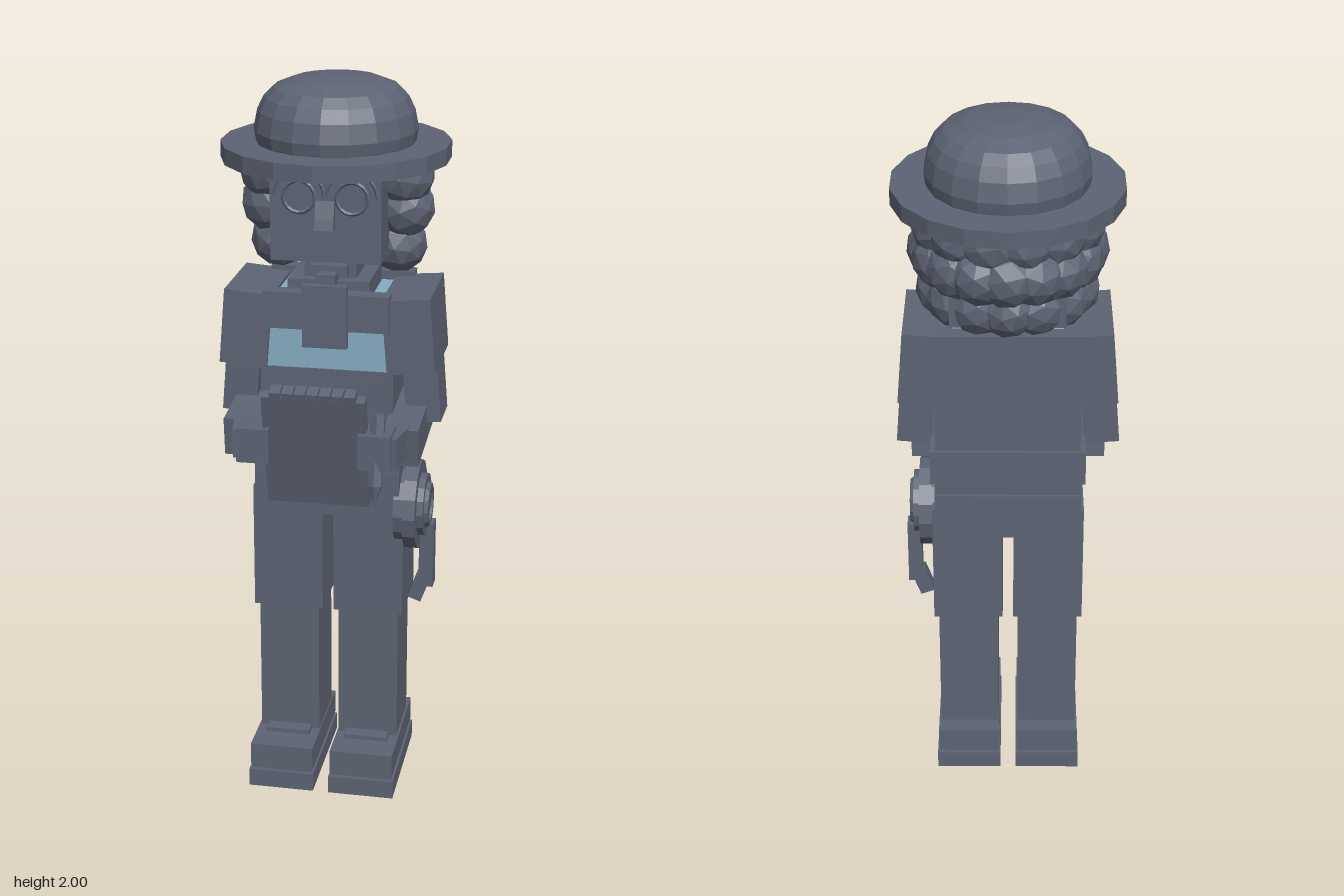
import * as THREE from 'three';

export function createModel() {
  const model = new THREE.Group();
  const slate = new THREE.MeshStandardMaterial({ color: 0x5c6373, flatShading: true });
  slate.name = 'slate';
  const blue = new THREE.MeshStandardMaterial({ color: 0x84adc0, flatShading: true });
  blue.name = 'shirt blue';

  const add = (name, geo, x = 0, y = 0, z = 0, mat = slate) => {
    const m = new THREE.Mesh(geo, mat);
    m.name = name;
    m.position.set(x, y, z);
    model.add(m);
    return m;
  };
  // box from its extents
  const box = (name, x0, x1, y0, y1, z0, z1, mat = slate) => add(name,
    new THREE.BoxGeometry(Math.abs(x1 - x0), y1 - y0, z1 - z0),
    (x0 + x1) / 2, (y0 + y1) / 2, (z0 + z1) / 2, mat);

  // hat: 18-sided brim and rounded crown
  const brim = add('hatBrim', new THREE.CylinderGeometry(0.305, 0.305, 0.045, 18), 0, 1.805, -0.015);
  brim.rotation.y = Math.PI;
  brim.scale.z = 1.05;
  const profile = [[0.2, 1.79], [0.212, 1.83], [0.217, 1.86], [0.207, 1.91], [0.19, 1.945],
    [0.165, 1.97], [0.115, 1.99], [0.05, 2], [0, 2]].map(p => new THREE.Vector2(...p));
  add('hatCrown', new THREE.LatheGeometry(profile, 18), 0, 0, -0.015).scale.z = 1.06;

  // head, nose, spectacles
  box('head', -0.147, 0.147, 1.535, 1.8, -0.16, 0.14);
  const noseShape = new THREE.Shape([[0.13, 1.7], [0.13, 1.625], [0.165, 1.625], [0.158, 1.655], [0.145, 1.7]]
    .map(p => new THREE.Vector2(...p)));
  const nose = add('nose', new THREE.ExtrudeGeometry(noseShape, { depth: 0.05, bevelEnabled: false }), 0.025);
  nose.rotation.y = -Math.PI / 2;
  for (const s of [-1, 1]) {
    add('spectacleRim', new THREE.TorusGeometry(0.042, 0.005, 4, 16), s * 0.07, 1.708, 0.141);
    add('eyeSocket', new THREE.TorusGeometry(0.066, 0.004, 4, 14, Math.PI), s * 0.07, 1.71, 0.14);
  }
  box('mouth', -0.05, 0.05, 1.575, 1.583, 0.138, 0.144);

  // curly hair: rows of faceted balls round the sides and back
  const curl = new THREE.IcosahedronGeometry(1, 1);
  const rows = [
    { y: 1.74, rx: 0.18, rz: 0.165, r: 0.084, n: 8, start: 0.05 },
    { y: 1.65, rx: 0.18, rz: 0.175, r: 0.084, n: 9, start: -0.05 },
    { y: 1.545, rx: 0.165, rz: 0.14, r: 0.08, n: 7, start: -0.2 },
  ];
  for (const { y, rx, rz, r, n, start } of rows) {
    for (let i = 0; i < n; i++) {
      const a = -start + (Math.PI + 2 * start) * i / (n - 1);
      const c = add('hairCurl', curl, Math.cos(a) * rx, y, -0.03 - Math.sin(a) * rz);
      c.scale.setScalar(r);
      c.rotation.set(i * 0.7, i * 1.1, y * 5);
    }
  }
  box('backHair', -0.15, 0.15, 1.5, 1.78, -0.2, -0.1);

  // neck, collar and tie
  box('neck', -0.07, 0.07, 1.4, 1.54, -0.08, 0.07);
  box('collar', -0.11, 0.11, 1.42, 1.475, -0.1, 0.1);
  box('bow', -0.05, 0.05, 1.485, 1.515, 0.06, 0.1);
  box('tie', -0.025, 0.025, 1.45, 1.5, 0.07, 0.14);
  box('tieKnot', -0.06, 0.06, 1.305, 1.475, 0.135, 0.16);

  // torso
  box('shirt', -0.165, 0.165, 1.2, 1.425, -0.12, 0.12, blue);
  box('frontYoke', -0.17, 0.17, 1.35, 1.45, 0.1, 0.148);
  box('backPanel', -0.195, 0.195, 1.09, 1.45, -0.145, -0.115);
  box('backYoke', -0.2, 0.2, 1.35, 1.45, -0.156, -0.11);
  box('jacketBody', -0.18, 0.18, 1.05, 1.235, -0.13, 0.125);
  box('jacketHem', -0.21, 0.21, 1, 1.1, -0.156, 0.13);
  box('waist', -0.2, 0.2, 0.94, 1.01, -0.13, 0.125);
  box('hips', -0.2, 0.2, 0.815, 0.95, -0.138, 0.128);

  for (const s of [-1, 1]) {
    // arms
    const sleeve = box('shoulder', s * 0.155, s * 0.285, 1.235, 1.44, -0.135, 0.13);
    sleeve.rotation.z = s * 0.08;
    const upper = box('upperArm', s * 0.2, s * 0.294, 1.08, 1.3, -0.067, 0.065);
    upper.rotation.z = s * 0.08;
    const fore = box('forearmSleeve', s * 0.17, s * 0.263, 1.02, 1.125, -0.06, 0.215);
    fore.rotation.x = 0.1;
    const wrist = box('wrist', s * 0.15, s * 0.228, 1.035, 1.115, 0.19, 0.3);
    wrist.rotation.y = -s * 0.17;
    box('hand', s * 0.118, s * 0.205, 1.03, 1.125, 0.225, 0.322);

    // legs
    box('thigh', s * 0.015, s * 0.21, 0.52, 0.88, -0.102, 0.11);
    box('calf', s * 0.028, s * 0.197, 0.12, 0.53, -0.085, 0.1);
    box('shoeSole', s * 0.022, s * 0.207, 0, 0.052, -0.142, 0.228);
    box('shoeWelt', s * 0.03, s * 0.2, 0.05, 0.065, -0.13, 0.215);
    box('shoeUpper', s * 0.025, s * 0.203, 0.062, 0.13, -0.135, 0.22);
    box('shoeTongue', s * 0.05, s * 0.175, 0.125, 0.142, 0.06, 0.14);
  }

  // notepad with a ring binding, leaning forward at the top
  const pad = box('notepad', -0.137, 0.137, 0.895, 1.225, 0.25, 0.285);
  pad.rotation.x = 0.24;
  for (let i = 0; i < 7; i++) {
    const ring = box('padRing', -0.114 + i * 0.033, -0.085 + i * 0.033, 1.2, 1.238, 0.285, 0.328);
    ring.rotation.x = 0.24;
  }
  // pen held in the left hand
  const pen = add('pen', new THREE.CylinderGeometry(0.021, 0.021, 0.19, 6), 0.165, 1.08, 0.295);
  pen.rotation.x = -0.25;
  const tip = add('penTip', new THREE.ConeGeometry(0.021, 0.05, 6), 0.165, 0.963, 0.325);
  tip.rotation.x = Math.PI - 0.25;

  // round pouch with raised rings and a hanging strap on the left hip
  const disc = (name, r, x, w) => {
    add(name, new THREE.CylinderGeometry(r, r, w, 14), x, 0.828, 0.035).rotation.z = Math.PI / 2;
  };
  disc('pouchBack', 0.11, 0.21, 0.05);
  disc('pouchRim', 0.125, 0.23, 0.035);
  disc('pouchFace', 0.088, 0.25, 0.03);
  add('pouchRing', new THREE.TorusGeometry(0.052, 0.016, 6, 12), 0.262, 0.828, 0.035).rotation.y = Math.PI / 2;
  disc('pouchHub', 0.024, 0.262, 0.02);
  box('strap', 0.245, 0.285, 0.58, 0.77, -0.008, 0.04);
  const end = box('strapEnd', 0.225, 0.265, 0.535, 0.61, -0.006, 0.038);
  end.rotation.z = -0.35;

  return model;
}
